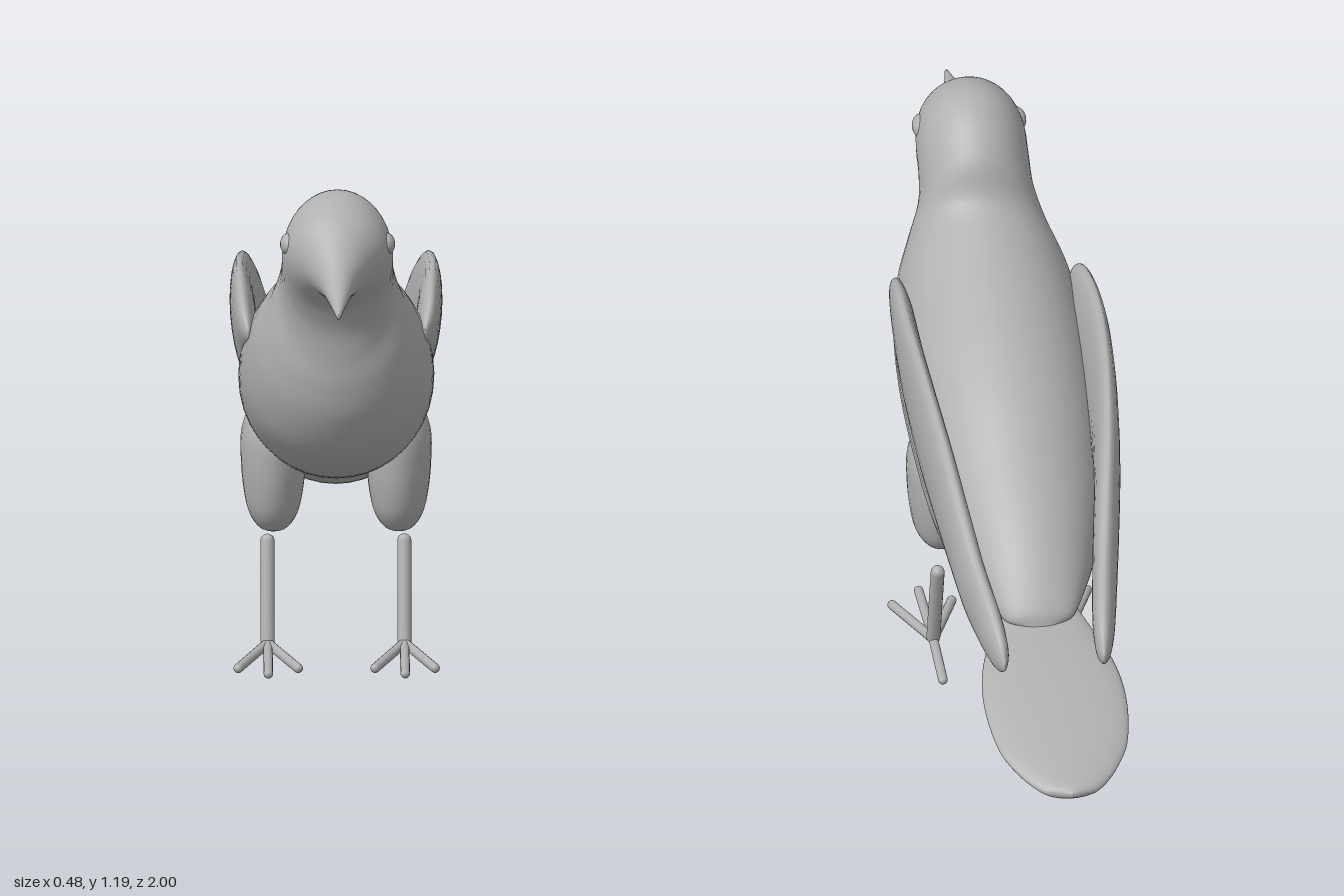
import * as THREE from 'three';

// Smooth skin through oval sections ordered front to back.
// Each section: [topX, topY, topZ, bottomX, bottomY, bottomZ, halfWidth]
function loft(sections, steps, sides) {
  const v = (x, y, z) => new THREE.Vector3(x, y, z);
  const top = new THREE.CatmullRomCurve3(sections.map(s => v(s[0], s[1], s[2])));
  const bottom = new THREE.CatmullRomCurve3(sections.map(s => v(s[3], s[4], s[5])));
  const width = new THREE.CatmullRomCurve3(sections.map((s, i) => v(i, s[6], 0)));
  const pos = [], index = [];
  for (let i = 0; i <= steps; i++) {
    const t = i / steps;
    const a = top.getPoint(t), b = bottom.getPoint(t), w = width.getPoint(t).y;
    const c = a.clone().add(b).multiplyScalar(0.5), d = a.clone().sub(c);
    for (let j = 0; j < sides; j++) {
      const ang = (j / sides) * Math.PI * 2;
      const p = c.clone().addScaledVector(d, Math.cos(ang));
      pos.push(p.x + w * Math.sin(ang), p.y, p.z);
      if (i < steps) {
        const k = i * sides + j, n = i * sides + (j + 1) % sides;
        index.push(k, n, k + sides, n, n + sides, k + sides);
      }
    }
  }
  // close both ends
  for (let j = 1; j < sides - 1; j++) {
    const e = steps * sides;
    index.push(0, j + 1, j, e, e + j, e + j + 1);
  }
  const g = new THREE.BufferGeometry();
  g.setAttribute('position', new THREE.Float32BufferAttribute(pos, 3));
  g.setIndex(index);
  g.computeVertexNormals();
  return g;
}

// Round-ended rod between two points
function rod(a, b, r) {
  const p = new THREE.Vector3(...a), q = new THREE.Vector3(...b);
  const dir = q.clone().sub(p);
  const g = new THREE.CapsuleGeometry(r, dir.length(), 5, 12);
  g.applyQuaternion(new THREE.Quaternion().setFromUnitVectors(
    new THREE.Vector3(0, 1, 0), dir.clone().normalize()));
  const m = p.add(q).multiplyScalar(0.5);
  return g.translate(m.x, m.y, m.z);
}

export function createModel() {
  const bird = new THREE.Group();
  bird.name = 'bird';
  const grey = new THREE.MeshStandardMaterial({ color: 0xb0b0b0 });
  grey.name = 'plain grey';
  const add = (name, geometry, parent = bird) => {
    const mesh = new THREE.Mesh(geometry, grey);
    mesh.name = name;
    parent.add(mesh);
    return mesh;
  };

  // Beak, head, neck and body: top z, top y, bottom z, bottom y, half width
  const centred = s => [0, s[1], s[0], 0, s[3], s[2], s[4]];
  add('body', loft([
    [1.0, 1.0, 1.0, 0.99, 0.004],
    [0.9, 1.03, 0.89, 0.988, 0.022],
    [0.82, 1.07, 0.8, 0.982, 0.042],
    [0.76, 1.12, 0.72, 0.968, 0.078],
    [0.7, 1.168, 0.67, 0.94, 0.113],
    [0.6, 1.193, 0.645, 0.9, 0.125],
    [0.52, 1.168, 0.63, 0.86, 0.126],
    [0.45, 1.1, 0.622, 0.8, 0.132],
    [0.41, 1.015, 0.615, 0.73, 0.158],
    [0.32, 0.97, 0.592, 0.65, 0.19],
    [0.2, 0.925, 0.52, 0.55, 0.214],
    [0.06, 0.87, 0.36, 0.47, 0.222],
    [-0.08, 0.8, 0.15, 0.41, 0.215],
    [-0.2, 0.72, -0.05, 0.352, 0.195],
    [-0.32, 0.64, -0.22, 0.352, 0.16],
    [-0.42, 0.555, -0.35, 0.395, 0.12],
    [-0.49, 0.475, -0.46, 0.425, 0.075],
    [-0.5, 0.445, -0.5, 0.435, 0.02],
  ].map(centred), 96, 40));

  // Flat rounded tail
  add('tail', loft([
    [-0.3, 0.49, -0.3, 0.44, 0.05],
    [-0.45, 0.455, -0.44, 0.415, 0.1],
    [-0.6, 0.428, -0.6, 0.375, 0.15],
    [-0.72, 0.4, -0.73, 0.345, 0.162],
    [-0.85, 0.362, -0.85, 0.312, 0.145],
    [-0.93, 0.338, -0.93, 0.294, 0.105],
    [-0.98, 0.322, -0.98, 0.287, 0.06],
    [-1.0, 0.31, -1.0, 0.3, 0.004],
  ].map(centred), 48, 32));

  // Folded wing: z, top x, top y, bottom x, bottom y, half thickness
  const wing = [
    [0.4, 0.2, 0.82, 0.2, 0.8, 0.004],
    [0.36, 0.21, 0.862, 0.2, 0.775, 0.018],
    [0.25, 0.216, 0.9, 0.2, 0.72, 0.027],
    [0.1, 0.219, 0.911, 0.2, 0.65, 0.03],
    [-0.08, 0.21, 0.888, 0.195, 0.59, 0.03],
    [-0.25, 0.19, 0.815, 0.182, 0.545, 0.03],
    [-0.38, 0.167, 0.71, 0.162, 0.485, 0.03],
    [-0.47, 0.15, 0.637, 0.148, 0.45, 0.029],
    [-0.6, 0.128, 0.572, 0.128, 0.437, 0.026],
    [-0.67, 0.118, 0.53, 0.118, 0.443, 0.018],
    [-0.705, 0.114, 0.485, 0.114, 0.465, 0.004],
  ];

  for (const s of [1, -1]) {
    const side = s > 0 ? 'left' : 'right';
    add(side + 'Wing', loft(wing.map(([z, tx, ty, bx, by, w]) =>
      [s * tx, ty, z, s * bx, by, z, w]), 64, 24));

    // Low swelling at the eye
    const eye = add(side + 'EyeBump', new THREE.SphereGeometry(0.03, 20, 14));
    eye.scale.set(0.75, 0.85, 1.2);
    eye.position.set(s * 0.108, 1.08, 0.645);

    // Rounded thigh
    const profile = new THREE.SplineCurve([
      [0, 0.29], [0.045, 0.297], [0.08, 0.33], [0.098, 0.38],
      [0.108, 0.45], [0.105, 0.53], [0.06, 0.6], [0, 0.62],
    ].map(p => new THREE.Vector2(...p))).getPoints(28);
    profile.forEach(p => { p.x = Math.max(p.x, 0); });
    const thigh = add(side + 'Thigh', new THREE.LatheGeometry(profile, 28));
    thigh.scale.x = 0.68;
    thigh.position.set(s * 0.142, 0, 0.135);

    // Thin shank with three front toes and one back toe
    const leg = new THREE.Group();
    leg.name = side + 'Leg';
    leg.position.x = s * 0.155;
    bird.add(leg);
    add('shank', rod([0, 0.248, 0.072], [0, 0.032, 0.14], 0.016), leg);
    const toes = [[-0.068, 0.32], [0, 0.372], [0.068, 0.32], [0, -0.01]];
    toes.forEach(([x, z], i) => add(i < 3 ? 'frontToe' : 'backToe',
      rod([0, 0.026, 0.14], [x, 0.011, z], 0.011), leg));
  }
  return bird;
}
